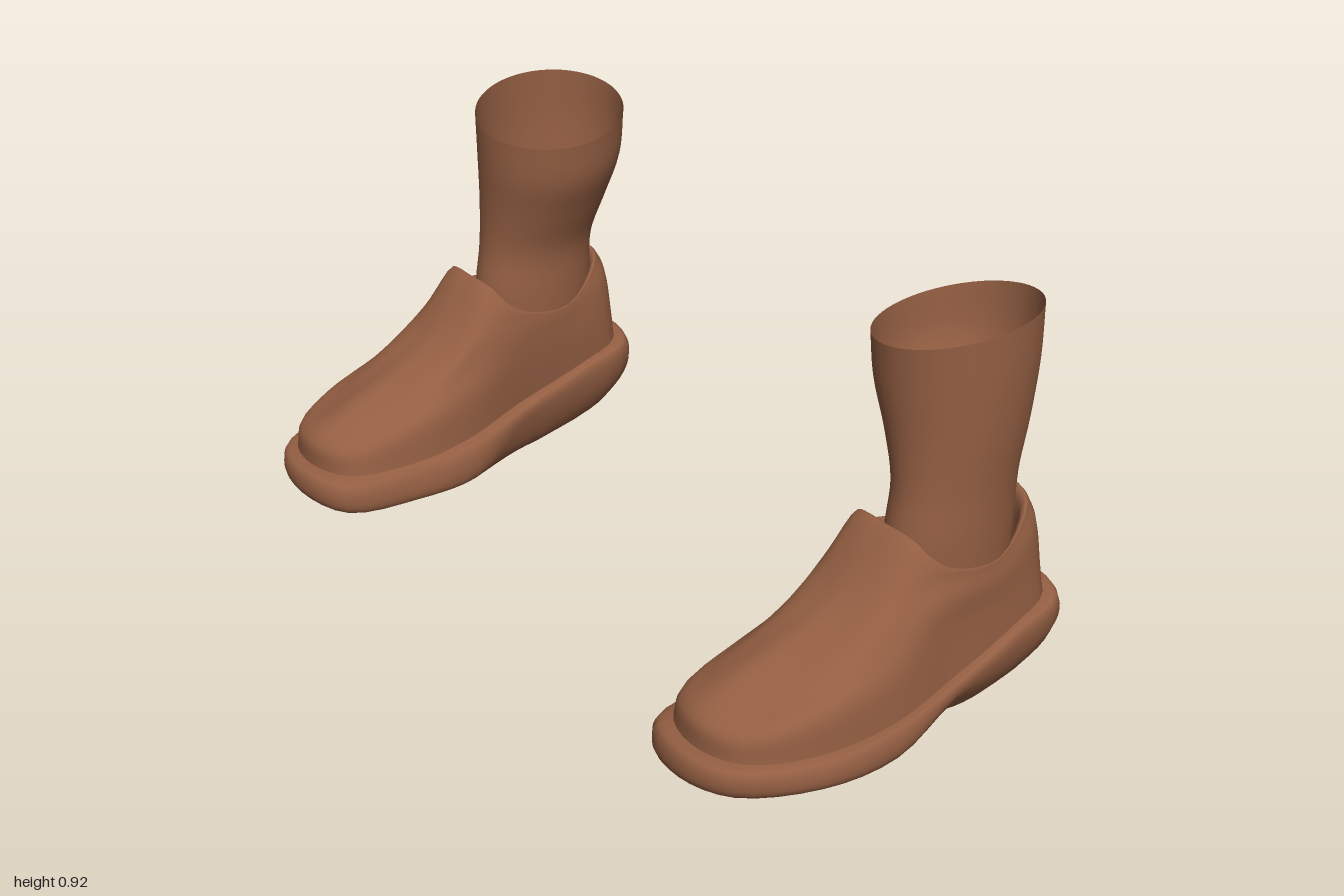
import * as THREE from 'three';

const leather = new THREE.MeshStandardMaterial({ color: 0x935e42, side: THREE.DoubleSide });
leather.name = 'brown leather';

const V = (p) => new THREE.Vector3(...p);

// Smooth skin through closed rings listed bottom to top; side = -1 mirrors it in x.
function loft(name, rings, side, around = 56, steps = 5) {
  const curves = rings.map((r) => new THREE.CatmullRomCurve3(r.map(V), true));
  const rows = (rings.length - 1) * steps;
  const pos = new Float32Array((rows + 1) * around * 3);
  const index = [];
  for (let j = 0; j < around; j++) {
    const column = new THREE.CatmullRomCurve3(curves.map((c) => c.getPoint(j / around)));
    for (let i = 0; i <= rows; i++) {
      const p = column.getPoint(i / rows);
      pos.set([p.x * side, p.y, p.z], (i * around + j) * 3);
      if (i === rows) continue;
      const a = i * around + j, b = i * around + (j + 1) % around;
      const c = b + around, d = a + around;
      index.push(...(side > 0 ? [a, b, c, a, c, d] : [a, c, b, a, d, c]));
    }
  }
  const g = new THREE.BufferGeometry();
  g.setAttribute('position', new THREE.BufferAttribute(pos, 3));
  g.setIndex(index);
  g.computeVertexNormals();
  const mesh = new THREE.Mesh(g, leather);
  mesh.name = name;
  return mesh;
}

// Copy of a ring pulled toward a centre in plan and moved vertically.
const shrink = (ring, k, cx, cz, dy) =>
  ring.map(([x, y, z]) => [cx + (x - cx) * k, y + dy, cz + (z - cz) * k]);
// Ring closed down to almost a point.
const close = (x, y, z) =>
  Array.from({ length: 14 }, (_, i) => {
    const a = (i / 14) * Math.PI * 2;
    return [x + 0.004 * Math.sin(a), y, z + 0.01 * Math.cos(a)];
  });

// Rings run toe, outer side, heel, inner side.
const tread = [
  [0.76, 0.015, 0.44], [0.87, 0.02, 0.4], [0.94, 0.02, 0.25], [0.94, 0.015, 0.08], [0.9, 0.03, -0.1],
  [0.89, 0.015, -0.2], [0.87, 0.045, -0.38], [0.78, 0.05, -0.4], [0.7, 0.045, -0.38], [0.68, 0.01, -0.2],
  [0.66, 0.01, -0.1], [0.62, 0.005, 0.08], [0.62, 0.005, 0.25], [0.65, 0.012, 0.4]];
const lowerEdge = [
  [0.76, 0.045, 0.49], [0.89, 0.05, 0.45], [0.985, 0.05, 0.28], [1.0, 0.055, 0.08], [0.975, 0.115, -0.1],
  [0.95, 0.105, -0.26], [0.92, 0.15, -0.45], [0.78, 0.13, -0.49], [0.66, 0.15, -0.45], [0.64, 0.1, -0.26],
  [0.625, 0.1, -0.1], [0.58, 0.03, 0.08], [0.58, 0.025, 0.25], [0.62, 0.03, 0.44]];
const upperEdge = [
  [0.76, 0.1, 0.487], [0.89, 0.1, 0.45], [0.98, 0.1, 0.28], [0.995, 0.115, 0.08], [0.975, 0.145, -0.1],
  [0.955, 0.19, -0.3], [0.925, 0.22, -0.44], [0.78, 0.228, -0.48], [0.655, 0.22, -0.44], [0.635, 0.19, -0.3],
  [0.625, 0.14, -0.1], [0.585, 0.105, 0.08], [0.585, 0.085, 0.25], [0.62, 0.09, 0.44]];
const welt = [
  [0.76, 0.11, 0.455], [0.88, 0.11, 0.42], [0.955, 0.11, 0.28], [0.975, 0.12, 0.08], [0.955, 0.15, -0.1],
  [0.935, 0.2, -0.3], [0.9, 0.225, -0.42], [0.78, 0.235, -0.455], [0.68, 0.225, -0.42], [0.655, 0.2, -0.3],
  [0.65, 0.15, -0.1], [0.615, 0.12, 0.08], [0.605, 0.11, 0.25], [0.645, 0.11, 0.41]];
const toeBox = [
  [0.76, 0.17, 0.447], [0.875, 0.165, 0.41], [0.945, 0.19, 0.27], [0.96, 0.22, 0.08], [0.945, 0.27, -0.08],
  [0.93, 0.28, -0.28], [0.895, 0.3, -0.41], [0.78, 0.31, -0.45], [0.68, 0.3, -0.41], [0.65, 0.28, -0.28],
  [0.64, 0.26, -0.08], [0.625, 0.22, 0.08], [0.62, 0.19, 0.24], [0.655, 0.165, 0.4]];
const vamp = [
  [0.76, 0.217, 0.37], [0.85, 0.207, 0.33], [0.91, 0.24, 0.2], [0.93, 0.29, 0.06], [0.94, 0.335, -0.08],
  [0.93, 0.335, -0.26], [0.885, 0.4, -0.4], [0.78, 0.41, -0.44], [0.69, 0.4, -0.4], [0.65, 0.335, -0.26],
  [0.64, 0.335, -0.08], [0.65, 0.29, 0.06], [0.65, 0.24, 0.18], [0.68, 0.207, 0.33]];
const instep = [
  [0.775, 0.325, 0.1], [0.83, 0.325, 0.09], [0.875, 0.34, 0.06], [0.905, 0.37, 0], [0.925, 0.38, -0.1],
  [0.925, 0.365, -0.25], [0.875, 0.44, -0.387], [0.785, 0.45, -0.425], [0.7, 0.44, -0.387], [0.65, 0.365, -0.25],
  [0.645, 0.38, -0.1], [0.66, 0.37, 0], [0.685, 0.34, 0.06], [0.725, 0.325, 0.09]];
const collar = [
  [0.78, 0.475, -0.045], [0.83, 0.475, -0.047], [0.87, 0.465, -0.055], [0.9, 0.435, -0.075], [0.92, 0.403, -0.12],
  [0.92, 0.38, -0.26], [0.87, 0.455, -0.38], [0.785, 0.467, -0.405], [0.705, 0.455, -0.38], [0.655, 0.38, -0.26],
  [0.65, 0.403, -0.12], [0.665, 0.435, -0.075], [0.69, 0.465, -0.055], [0.73, 0.475, -0.047]];

// Leg sections: y, centre x, centre z, half width, half depth, tilt
const legSections = [
  [0.2, 0.78, -0.24, 0.11, 0.14, 0], [0.4, 0.78, -0.238, 0.113, 0.16, 0],
  [0.53, 0.779, -0.248, 0.116, 0.153, 0], [0.65, 0.763, -0.262, 0.142, 0.167, 0.3],
  [0.77, 0.744, -0.27, 0.167, 0.184, 0.7], [0.883, 0.738, -0.27, 0.173, 0.19, 1]];
const legRings = legSections.map(([y, cx, cz, rx, rz, tilt]) =>
  Array.from({ length: 14 }, (_, i) => {
    const s = Math.sin((i / 14) * Math.PI * 2), c = Math.cos((i / 14) * Math.PI * 2);
    return [cx + rx * s, y + tilt * (0.032 * s - 0.018 * c), cz + rz * c];
  }));

function makeShoe(name, side) {
  const shoe = new THREE.Group();
  shoe.name = name;
  // Sole with raised heel and welt, closed below and under the foot
  shoe.add(loft('sole', [close(0.78, 0.008, 0.02), tread, lowerEdge, upperEdge, welt,
    close(0.78, 0.15, -0.1)], side));
  // Upper, rolled over at the collar
  shoe.add(loft('upper', [welt, toeBox, vamp, instep, collar,
    shrink(collar, 0.93, 0.785, -0.23, -0.015), shrink(collar, 0.9, 0.785, -0.23, -0.12)], side));
  // Open leg shaft
  shoe.add(loft('legShaft', legRings, side));
  return shoe;
}

export function createModel() {
  const model = new THREE.Group();
  model.name = 'pairOfBoots';
  model.add(makeShoe('leftBoot', 1), makeShoe('rightBoot', -1));
  return model;
}
